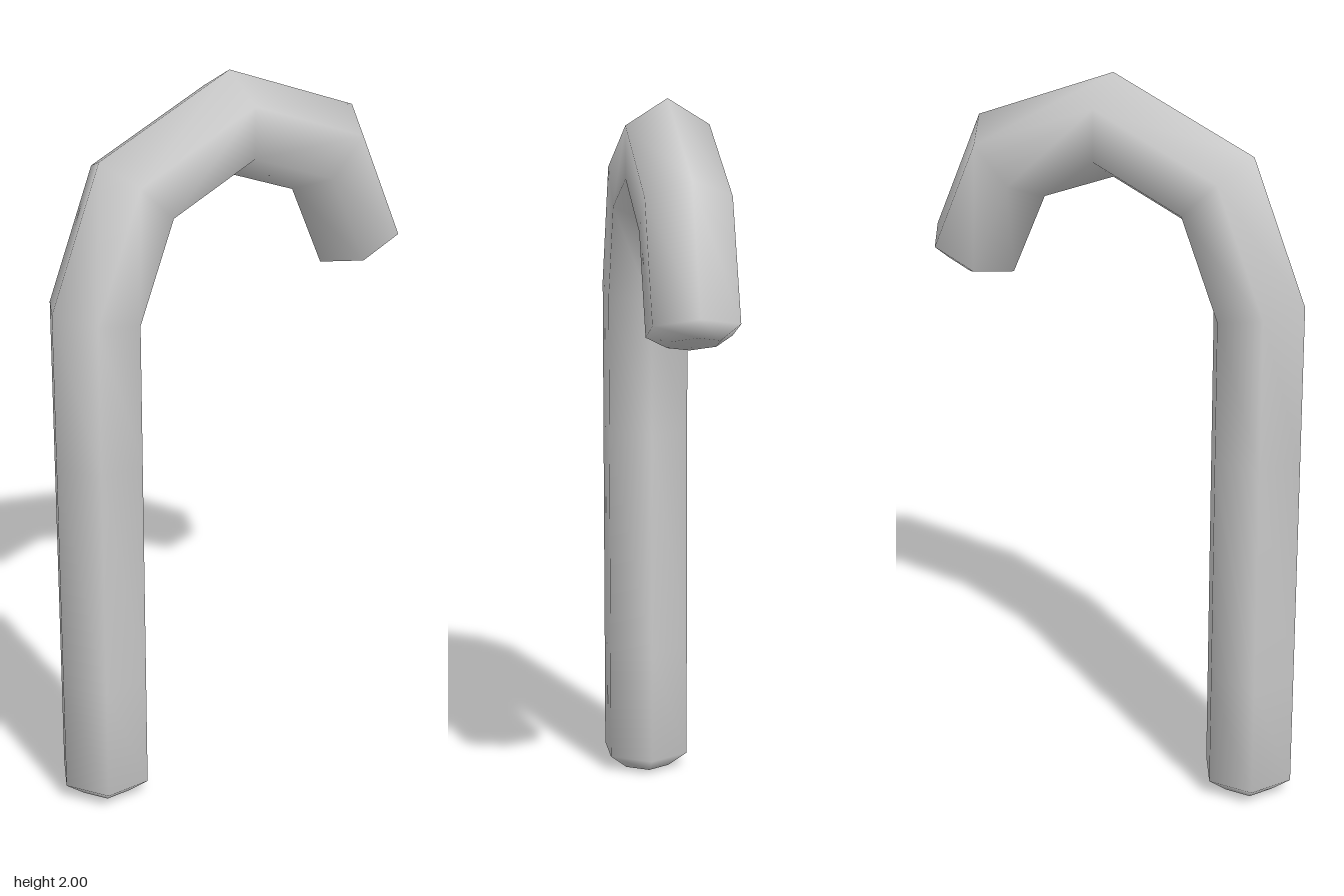
import * as THREE from 'three';

const SIDES = 6;

// Hexagonal tube swept through rings of [x, y, heading in degrees, radius, mitre stretch]
function sweptTube(rings) {
  const positions = [], indices = [];
  for (const [x, y, heading, r, stretch] of rings) {
    const a = THREE.MathUtils.degToRad(heading);
    const nx = -Math.sin(a), ny = Math.cos(a);
    for (let j = 0; j < SIDES; j++) {
      const t = (j / SIDES) * Math.PI * 2;
      const u = r * stretch * Math.cos(t);
      positions.push(x + nx * u, y + ny * u, r * Math.sin(t));
    }
  }
  for (let i = 0; i < rings.length - 1; i++) {
    for (let j = 0; j < SIDES; j++) {
      const k = (j + 1) % SIDES;
      const a = i * SIDES + j, b = i * SIDES + k;
      indices.push(a, b, a + SIDES, b, b + SIDES, a + SIDES);
    }
  }
  // flat end caps
  const last = (rings.length - 1) * SIDES;
  for (let j = 1; j < SIDES - 1; j++) {
    indices.push(0, j + 1, j);
    indices.push(last, last + j, last + j + 1);
  }
  const geometry = new THREE.BufferGeometry();
  geometry.setAttribute('position', new THREE.Float32BufferAttribute(positions, 3));
  geometry.setIndex(indices);
  geometry.computeVertexNormals(); // smooth across the shared rings
  return geometry;
}

export function createModel() {
  const group = new THREE.Group();
  group.name = 'hookedCane';
  const grey = new THREE.MeshStandardMaterial({ color: 0xcccccc });
  grey.name = 'light grey';

  const mitre = (bend) => 1 / Math.cos(THREE.MathUtils.degToRad(bend / 2));
  const R = 0.13, TIP = 0.073, X = -0.425;
  const cane = new THREE.Mesh(sweptTube([
    // bevelled foot and straight shaft
    [X, 0, 90, TIP, 1],
    [X, 0.045, 90, R, 1],
    [X, 0.37, 90, R, 1],
    [X, 1.02, 90, R, 1],
    // crook
    [X, 1.425, 78.75, R, mitre(22.5)],
    [-0.303, 1.73, 45, R, mitre(45)],
    [0.003, 1.857, 0, R, mitre(45)],
    [0.31, 1.73, -45, R, mitre(45)],
    // bevelled tip
    [0.43, 1.45, -67.5, R, 1],
    [0.443, 1.418, -67.5, TIP, 1],
  ]), grey);
  cane.name = 'cane';
  group.add(cane);
  return group;
}
